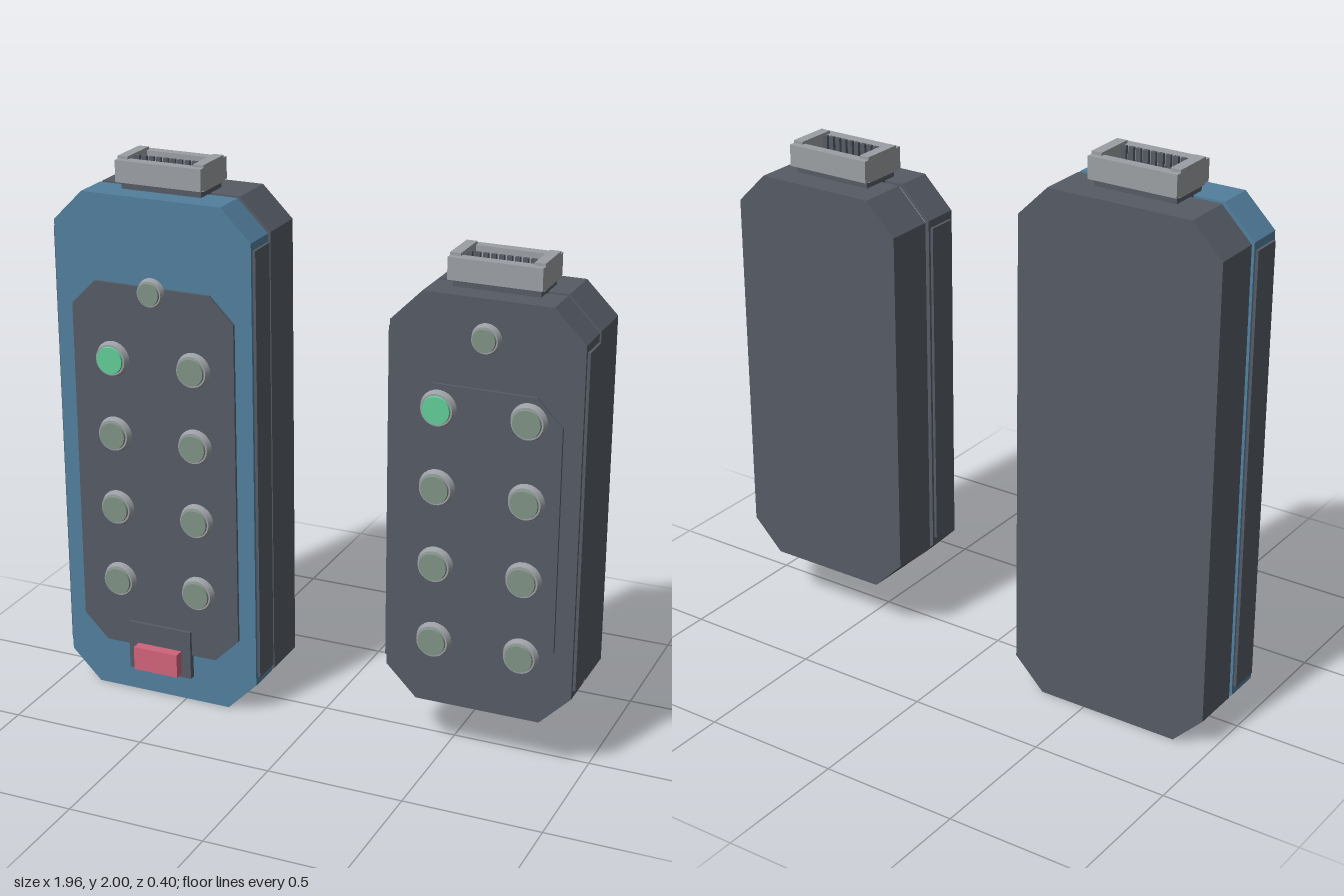
import * as THREE from 'three';

const mat = (name, color) => {
  const m = new THREE.MeshStandardMaterial({ color });
  m.name = name;
  return m;
};

export function createModel() {
  const dark = mat('charcoal', 0x555b65);
  const blue = mat('blue', 0x527f9e);
  const silver = mat('silver', 0x9b9fa3);
  const sage = mat('sage', 0x7f9284);
  const green = mat('green', 0x62cc96);
  const red = mat('red', 0xd0647a);

  const root = new THREE.Group();
  root.name = 'remoteControls';

  const add = (parent, name, geometry, material) => {
    const mesh = new THREE.Mesh(geometry, material);
    mesh.name = name;
    parent.add(mesh);
    return mesh;
  };

  // Box given by its limits on each axis
  const box = (parent, name, material, x0, x1, y0, y1, z0, z1) => {
    const mesh = add(parent, name, new THREE.BoxGeometry(x1 - x0, y1 - y0, z1 - z0), material);
    mesh.position.set((x0 + x1) / 2, (y0 + y1) / 2, (z0 + z1) / 2);
    return mesh;
  };

  // Slab with four cut corners
  const slab = (parent, name, material, halfW, y0, y1, cut, z0, z1) => {
    const s = new THREE.Shape([
      [-halfW + cut, y0], [halfW - cut, y0], [halfW, y0 + cut], [halfW, y1 - cut],
      [halfW - cut, y1], [-halfW + cut, y1], [-halfW, y1 - cut], [-halfW, y0 + cut],
    ].map(([x, y]) => new THREE.Vector2(x, y)));
    const g = new THREE.ExtrudeGeometry(s, { depth: z1 - z0, bevelEnabled: false });
    g.translate(0, 0, z0);
    return add(parent, name, g, material);
  };

  // Round button: metal ring with a coloured cap
  const button = (parent, x, y, r, z, material) => {
    const b = new THREE.Group();
    b.name = 'button';
    b.position.set(x, y, z);
    parent.add(b);
    const ring = new THREE.CylinderGeometry(r * 0.87, r, 0.022, 24).rotateX(Math.PI / 2);
    add(b, 'buttonRing', ring, silver).position.z = 0.011;
    const cap = new THREE.CylinderGeometry(r * 0.75, r * 0.79, 0.012, 24).rotateX(Math.PI / 2);
    add(b, 'buttonCap', cap, material).position.z = 0.024;
  };

  // Open socket on top, with rows of contacts inside
  const socket = (parent, y) => {
    const s = new THREE.Group();
    s.name = 'topSocket';
    s.position.y = y;
    parent.add(s);
    box(s, 'socketNeck', dark, -0.153, 0.153, -0.01, 0.035, -0.1, 0.055);
    box(s, 'socketFloor', dark, -0.13, 0.13, 0.03, 0.06, -0.09, 0.045);
    box(s, 'frontWall', silver, -0.164, 0.164, 0.027, 0.105, 0.038, 0.078);
    box(s, 'backWall', silver, -0.164, 0.164, 0.027, 0.105, -0.122, -0.085);
    for (const side of [-1, 1]) {
      const x = side * 0.145;
      box(s, 'endWall', silver, x - 0.019, x + 0.019, 0.022, 0.115, -0.1, 0.055);
    }
    for (let i = 0; i < 9; i++) {
      const x = -0.11 + i * 0.0275;
      box(s, 'contact', dark, x - 0.009, x + 0.009, 0.05, 0.113, 0.005, 0.018);
    }
  };

  // One handset; its front is at z = 0.138 and its back at z = -0.198
  const handset = ({ name, x, halfW, y0, y1, shell, plate, rails, lamp }) => {
    const g = new THREE.Group();
    g.name = name;
    g.position.x = x;
    root.add(g);
    slab(g, 'frontShell', shell, halfW, y0, y1, 0.112, 0.003, 0.138);
    slab(g, 'backShell', dark, halfW, y0, y1, 0.112, -0.198, -0.016);
    slab(g, 'seam', silver, halfW - 0.012, y0 + 0.012, y1 - 0.012, 0.107, -0.017, 0.004);
    slab(g, 'keypadPlate', dark, plate.halfW, plate.y0, plate.y1, 0.092, 0.137, 0.149);
    for (const side of [-1, 1]) {
      const a = side * (halfW - 0.01), b = side * (halfW + 0.01);
      box(g, 'sideRail', dark, Math.min(a, b), Math.max(a, b), rails[0], rails[1], 0.013, 0.125);
    }
    // Two columns of four keys; the upper left one is green
    for (let row = 0; row < 4; row++) {
      for (const side of [-1, 1]) {
        button(g, side * 0.158, 1.295 - row * 0.283, 0.065, 0.149, row === 0 && side < 0 ? green : sage);
      }
    }
    button(g, 0, 1.555, 0.053, lamp, sage);
    socket(g, y1);
    return g;
  };

  const large = handset({
    name: 'largeHandset', x: -0.593, halfW: 0.378, y0: 0.003, y1: 1.885, shell: blue,
    plate: { halfW: 0.313, y0: 0.19, y1: 1.572 }, rails: [0.145, 1.745], lamp: 0.145,
  });
  // Rocker switch at the foot of the large keypad
  box(large, 'switchBase', dark, -0.125, 0.125, 0.1, 0.286, 0.13, 0.162);
  box(large, 'switchRocker', red, -0.087, 0.088, 0.115, 0.205, 0.16, 0.2);

  const small = handset({
    name: 'smallHandset', x: 0.629, halfW: 0.338, y0: 0.2, y1: 1.69, shell: dark,
    plate: { halfW: 0.273, y0: 0.385, y1: 1.38 }, rails: [0.34, 1.55], lamp: 0.138,
  });
  // Plug under the small handset
  box(small, 'bottomPlug', silver, -0.125, 0.125, 0.148, 0.21, -0.058, 0.035);

  return root;
}
